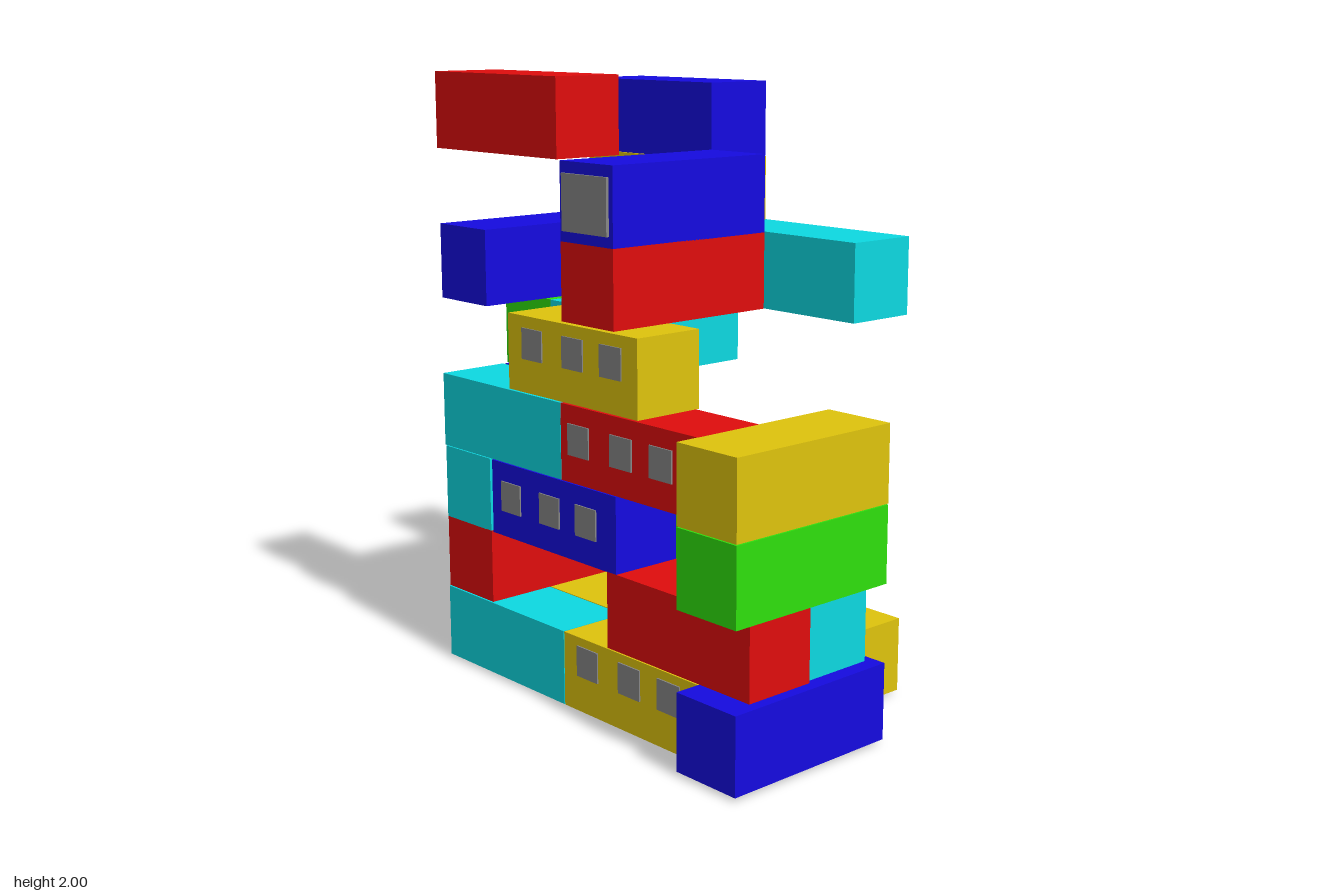
import * as THREE from 'three';

const LONG = 0.625, SHORT = 0.246;
const mat = (color) => new THREE.MeshStandardMaterial({ color });
const M = {
  red: mat(0xe00d0d), blue: mat(0x150be0), yellow: mat(0xdfc40d),
  green: mat(0x2fe00d), cyan: mat(0x0dd9e2), glass: mat(0x888888),
};

function box(w, h, d, material, name) {
  const mesh = new THREE.Mesh(new THREE.BoxGeometry(w, h, d), material);
  mesh.name = name;
  return mesh;
}

// One block, placed by its lowest corner; axis is the direction of its long side
function block(color, axis, x, y, z) {
  const w = axis === 'x' ? LONG : SHORT, d = axis === 'z' ? LONG : SHORT;
  const g = new THREE.Group();
  g.name = color + 'Block';
  g.position.set(x + w / 2, y + SHORT / 2, z + d / 2);
  g.add(box(w, SHORT, d, M[color], 'blockBody'));
  return g;
}

// Three square windows along a long side: front (+z) or right flank (-x)
function sideWindows(g, axis, along, up) {
  for (const o of [-0.2, 0, 0.18]) {
    const win = axis === 'x' ? box(0.1, 0.1, 0.01, M.glass, 'sideWindow')
      : box(0.01, 0.1, 0.1, M.glass, 'sideWindow');
    if (axis === 'x') win.position.set(o + along, up, SHORT / 2);
    else win.position.set(-SHORT / 2, up, o + along);
    g.add(win);
  }
}

// One large window on a short end: front (+z) or right flank (-x)
function endWindow(g, axis) {
  const win = axis === 'z' ? box(0.21, 0.175, 0.02, M.glass, 'endWindow')
    : box(0.01, 0.175, 0.21, M.glass, 'endWindow');
  if (axis === 'z') win.position.z = LONG / 2;
  else win.position.x = -LONG / 2;
  g.add(win);
}

// [color, long axis, x, z, window type, shift along, shift up, own y]
const layers = [
  { y: 0.012, name: 'baseLayer', blocks: [
    ['cyan', 'x', -0.75, 0.155],
    ['yellow', 'x', -0.122, 0.155, 'side', 0.005, 0.045],
    ['blue', 'z', 0.503, -0.14],
    ['yellow', 'x', -0.715, -0.095],
    ['green', 'x', -0.12, -0.1],
    ['red', 'x', -0.747, -0.225, null, 0, 0, 0],
    ['blue', 'x', -0.747, -0.482, 'end'],
    ['yellow', 'x', -0.115, -0.482]] },
  { y: 0.262, name: 'secondLayer', blocks: [
    ['red', 'z', -0.745, -0.224],
    ['red', 'x', 0.094, 0.156],
    ['cyan', 'x', 0.08, -0.1]] },
  { y: 0.507, name: 'thirdLayer', blocks: [
    ['cyan', 'z', -0.747, -0.224, 'side', -0.015, 0],
    ['blue', 'x', -0.487, 0.156, 'side', -0.01, 0.012],
    ['green', 'x', -0.475, -0.095],
    ['green', 'z', 0.5, -0.143]] },
  { y: 0.756, name: 'fourthLayer', blocks: [
    ['cyan', 'x', -0.75, 0.156],
    ['red', 'x', -0.123, 0.156, 'side', -0.025, 0.015],
    ['blue', 'x', -0.747, -0.1, 'end'],
    ['yellow', 'z', 0.5, -0.143]] },
  { y: 1.006, name: 'fifthLayer', blocks: [
    ['green', 'z', -0.745, -0.485],
    ['cyan', 'z', -0.496, -0.482],
    ['yellow', 'x', -0.384, 0.156, 'side', 0.012, 0.035]] },
  { y: 1.258, name: 'sixthLayer', blocks: [
    ['blue', 'z', -0.745, -0.224, 'side', 0, 0.03],
    ['red', 'z', -0.112, -0.224],
    ['cyan', 'x', -0.108, -0.474]] },
  { y: 1.502, name: 'seventhLayer', blocks: [
    ['blue', 'z', -0.112, -0.224, 'end'],
    ['yellow', 'x', -0.738, -0.474, null, 0, 0, 1.468]] },
  { y: 1.75, name: 'topLayer', blocks: [
    ['red', 'x', -0.75, 0.156],
    ['blue', 'x', -0.742, -0.475, null, 0, 0, 1.715]] },
];

export function createModel() {
  const model = new THREE.Group();
  model.name = 'stackedBlocks';
  for (const layer of layers) {
    const g = new THREE.Group();
    g.name = layer.name;
    for (const [color, axis, x, z, win, along, up, y = layer.y] of layer.blocks) {
      const b = block(color, axis, x, y, z);
      if (win === 'side') sideWindows(b, axis, along, up);
      if (win === 'end') endWindow(b, axis);
      g.add(b);
    }
    model.add(g);
  }
  return model;
}
